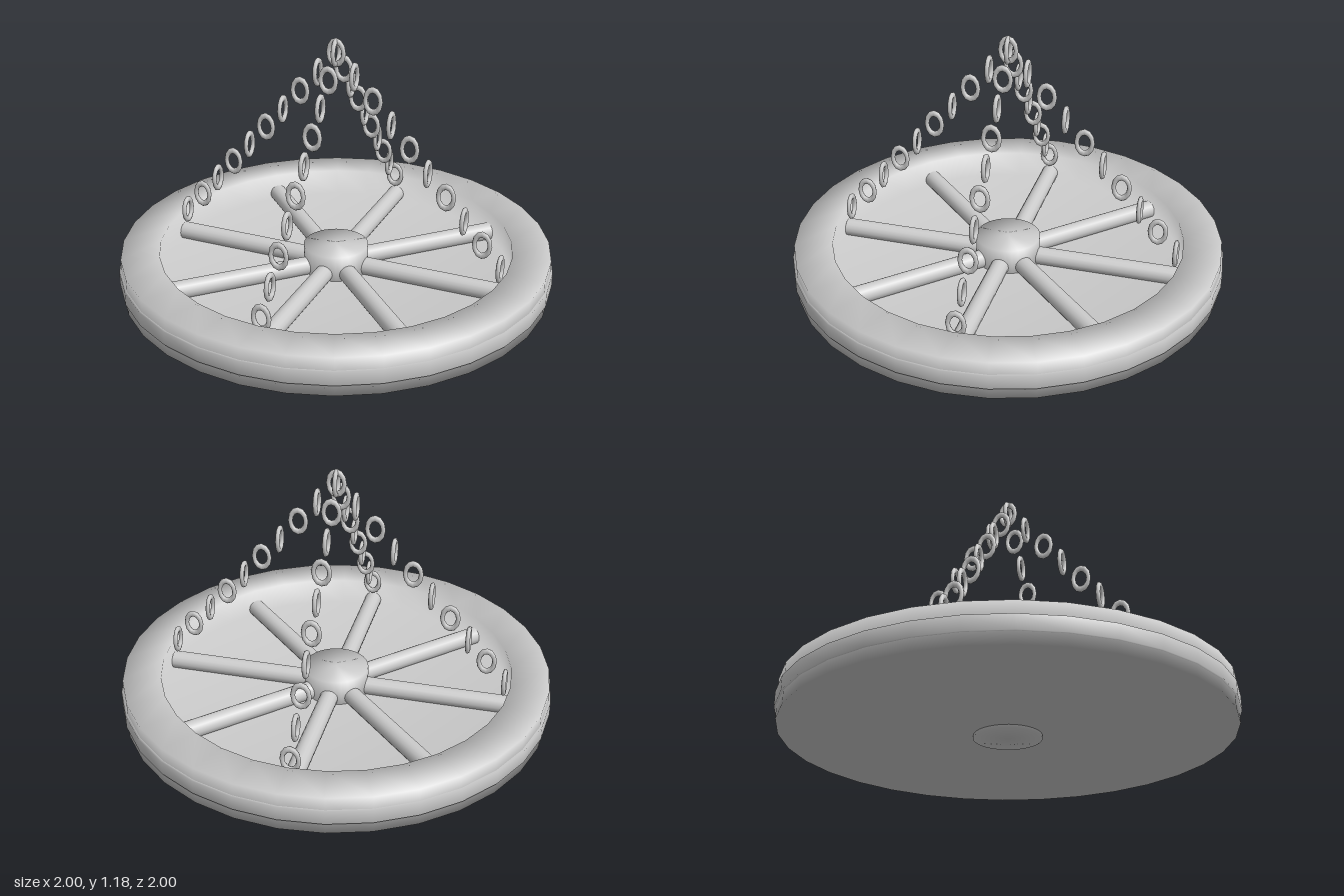
import * as THREE from 'three';

const SIDES = 32;

export function createModel() {
  const model = new THREE.Group();
  model.name = 'hangingWheel';
  const iron = new THREE.MeshStandardMaterial({ color: 0xcccccc });
  iron.name = 'grey iron';

  const add = (name, geometry, parent = model) => {
    const mesh = new THREE.Mesh(geometry, iron);
    mesh.name = name;
    parent.add(mesh);
    return mesh;
  };
  const lathe = (points, sides = SIDES) =>
    new THREE.LatheGeometry(points.map(([r, y]) => new THREE.Vector2(r, y)), sides);

  // Shallow pan with a thick rim, softly shaded across its edges
  add('rimAndFloor', lathe([
    [0, 0.013], [0.99, 0.013], [0.99, 0.19], [0.815, 0.19], [0.815, 0.06], [0, 0.06],
  ]));

  // Thin band around the outside of the rim
  add('outerBand', lathe([[0.985, 0.067], [1, 0.067], [1, 0.131], [0.985, 0.131]]));

  // Central hub, reaching slightly below the pan
  add('hub', lathe([[0, 0], [0.15, 0], [0.15, 0.18], [0, 0.18]]));

  // Eight spokes from hub to rim
  const spokeGeometry = new THREE.CylinderGeometry(0.042, 0.042, 0.71, 16);
  spokeGeometry.rotateZ(-Math.PI / 2).translate(0.455, 0.092, 0);
  for (let i = 0; i < 8; i++) {
    add('spoke', spokeGeometry).rotation.y = (i * Math.PI) / 4;
  }

  // Oval chain link, standing upright
  const linkGeometry = new THREE.TorusGeometry(0.036, 0.0105, 8, 12);
  linkGeometry.scale(1, 1.45, 1);

  // Two crossed links at the top
  for (const turn of [0, Math.PI / 2]) {
    const link = add('topLink', linkGeometry);
    link.position.y = 1.11;
    link.rotation.y = turn;
  }

  // Four chains sloping down to the rim, links alternating by a quarter turn
  for (let c = 0; c < 4; c++) {
    const chain = new THREE.Group();
    chain.name = 'chain';
    chain.rotation.y = (c * Math.PI) / 2;
    model.add(chain);
    for (let i = 1; i <= 9; i++) {
      const link = add('chainLink', linkGeometry, chain);
      link.position.set(0.0873 * i, 1.11 - 0.1 * i, 0);
      link.rotation.y = i % 2 ? Math.PI / 2 : 0;
    }
  }

  return model;
}
